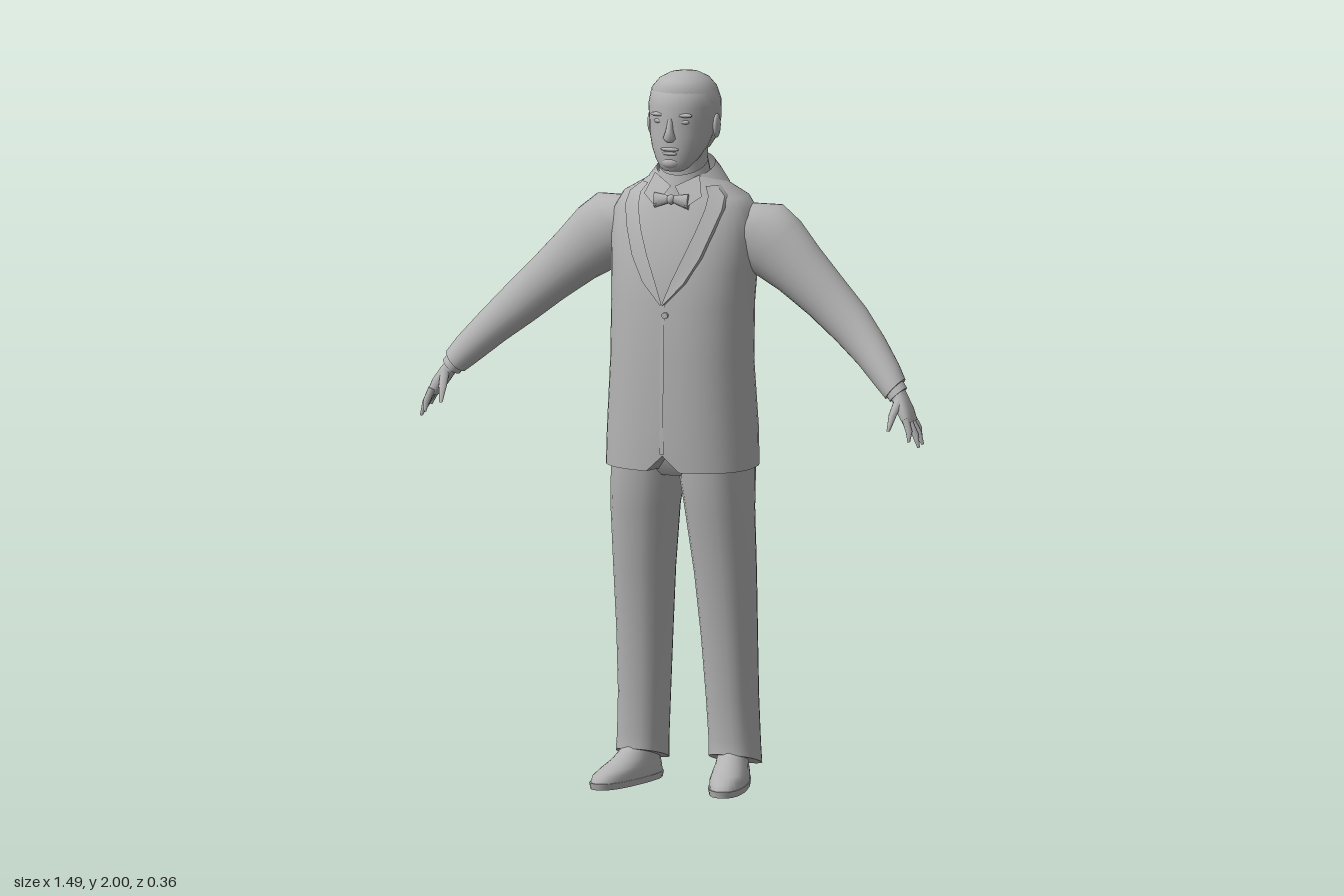
import * as THREE from 'three';

const cloth = new THREE.MeshStandardMaterial({ color: 0xb3b3b3, side: THREE.DoubleSide });
cloth.name = 'plain grey';
const V = (x, y, z) => new THREE.Vector3(x, y, z);

// Joins rings of superellipse points; each ring is { c, u, v, p } with u and v as half-axis vectors.
function loft(rings, n = 28, caps = true) {
  const pos = [], idx = [];
  const addRing = ({ c, u, v, p = 2 }) => {
    for (let i = 0; i < n; i++) {
      const t = (i / n) * Math.PI * 2, cs = Math.cos(t), sn = Math.sin(t);
      const q = c.clone()
        .addScaledVector(u, Math.sign(cs) * Math.abs(cs) ** (2 / p))
        .addScaledVector(v, Math.sign(sn) * Math.abs(sn) ** (2 / p));
      pos.push(q.x, q.y, q.z);
    }
  };
  rings.forEach(addRing);
  const axis = rings[rings.length - 1].c.clone().sub(rings[0].c);
  const forward = rings[0].u.clone().cross(rings[0].v).dot(axis) > 0;
  const tri = (a, b, c) => (forward ? idx.push(a, b, c) : idx.push(a, c, b));
  for (let r = 0; r < rings.length - 1; r++) {
    for (let i = 0; i < n; i++) {
      const a = r * n + i, b = r * n + (i + 1) % n;
      tri(a, b, b + n);
      tri(a, b + n, a + n);
    }
  }
  if (caps) {
    [rings[0], rings[rings.length - 1]].forEach((ring, end) => {
      const start = pos.length / 3;
      addRing(ring);
      pos.push(ring.c.x, ring.c.y, ring.c.z);
      for (let i = 0; i < n; i++) {
        const a = start + i, b = start + (i + 1) % n;
        if (end) tri(a, b, start + n); else tri(b, a, start + n);
      }
    });
  }
  return build(pos, idx);
}

function build(pos, idx) {
  const g = new THREE.BufferGeometry();
  g.setAttribute('position', new THREE.Float32BufferAttribute(pos, 3));
  g.setIndex(idx);
  g.computeVertexNormals();
  return g;
}

// Upright ring: height, x range, z range, exponent, rise of y per unit of z
const level = ([y, x0, x1, z0, z1, p = 2, tilt = 0]) => ({
  c: V((x0 + x1) / 2, y, (z0 + z1) / 2),
  u: V((x1 - x0) / 2, 0, 0),
  v: V(0, tilt * (z1 - z0) / 2, (z1 - z0) / 2), p,
});
const upright = (rows, n, caps) => loft(rows.map(level), n, caps);

// Tapered limb: centre, half height across the limb, half depth; angle leans the rings
const limb = (rows, angle, n = 20, p = 2) => loft(rows.map(([x, y, z, a, b]) => ({
  c: V(x, y, z), u: V(Math.cos(angle) * a, Math.sin(angle) * a, 0), v: V(0, 0, b), p,
})), n);

// Flat ribbon between two rows of points
function ribbon(left, right) {
  const pos = [], idx = [];
  left.forEach((q, i) => {
    pos.push(...q, ...right[i]);
    if (i) { const k = i * 2; idx.push(k - 2, k - 1, k + 1, k - 2, k + 1, k); }
  });
  return build(pos, idx);
}

function mirrored(geometry) {
  const g = geometry.clone().scale(-1, 1, 1);
  const ix = g.index.array;
  for (let i = 0; i < ix.length; i += 3) [ix[i + 1], ix[i + 2]] = [ix[i + 2], ix[i + 1]];
  g.computeVertexNormals();
  return g;
}

// Jacket body, from hem to neck
const jacket = [
  [0.9, -0.212, 0.212, -0.17, 0.148, 2.5],
  [1.0, -0.21, 0.21, -0.178, 0.152, 2.4],
  [1.2, -0.2, 0.2, -0.165, 0.15, 2.3],
  [1.36, -0.2, 0.2, -0.172, 0.142, 2.3],
  [1.46, -0.205, 0.205, -0.18, 0.128, 2.3],
  [1.54, -0.21, 0.21, -0.182, 0.108, 2.3],
  [1.61, -0.205, 0.205, -0.165, 0.083, 2.3],
  [1.655, -0.18, 0.18, -0.145, 0.062, 2.2],
  [1.69, -0.12, 0.12, -0.125, 0.045],
  [1.72, -0.075, 0.075, -0.105, 0.03],
];

// Point lying just proud of the jacket front
function onChest(x, y, lift) {
  let i = 0;
  while (i < jacket.length - 2 && jacket[i + 1][0] < y) i++;
  const t = (y - jacket[i][0]) / (jacket[i + 1][0] - jacket[i][0]);
  const [, , a, z0, z1, p = 2] = jacket[i].map((k, j) => k + ((jacket[i + 1][j] ?? 2) - k) * t);
  const z = (z0 + z1) / 2 + (z1 - z0) / 2 * Math.max(0, 1 - Math.abs(x / a) ** p) ** (1 / p);
  return [x, y, z + lift];
}

export function createModel() {
  const man = new THREE.Group();
  man.name = 'man in suit';
  const add = (name, geometry, parent = man) => {
    const m = new THREE.Mesh(geometry, cloth);
    m.name = name;
    parent.add(m);
    return m;
  };
  const pair = (name, geometry) => {
    add('left ' + name, geometry);
    add('right ' + name, mirrored(geometry));
  };
  const ball = (x, y, z, a, b, c) => new THREE.SphereGeometry(1, 14, 10).scale(a, b, c).translate(x, y, z);

  // Jacket with a small notch at the front of the hem
  const body = upright(jacket, 40);
  const bp = body.attributes.position;
  for (let i = 0; i < bp.count; i++) {
    if (bp.getY(i) < 0.91 && bp.getZ(i) > 0.1) bp.setY(i, 0.9 + Math.max(0, 0.045 - Math.abs(bp.getX(i))));
  }
  body.computeVertexNormals();
  add('jacket body', body);
  const edge = [0.95, 1.05, 1.2, 1.37];
  add('jacket front edge', ribbon(edge.map(y => onChest(-0.006, y, 0.003)), edge.map(y => onChest(0.006, y, 0.005))));
  const button = new THREE.CylinderGeometry(0.009, 0.009, 0.008, 12).rotateX(Math.PI / 2);
  add('jacket button', button.translate(0.008, 1.34, 0.148));

  // Lapels: height, inner x, outer x
  const lapel = [[1.37, 0, 0.004], [1.43, 0.022, 0.06], [1.5, 0.052, 0.1], [1.57, 0.08, 0.125],
    [1.63, 0.098, 0.143], [1.665, 0.1, 0.14], [1.69, 0.085, 0.11]];
  pair('lapel', ribbon(lapel.map(([y, a]) => onChest(a, y, 0.014)), lapel.map(([y, , b]) => onChest(b, y, 0.018))));
  pair('lapel outer edge', ribbon(lapel.map(([y, , b]) => onChest(b, y, 0.018)),
    lapel.map(([y, , b]) => onChest(b + 0.003, y, -0.004))));
  add('jacket collar', upright([
    [1.675, -0.125, 0.125, -0.135, 0.055, 2, -0.35],
    [1.705, -0.105, 0.105, -0.124, 0.05, 2, -0.4],
    [1.735, -0.082, 0.082, -0.11, 0.035, 2, -0.4],
  ], 28, false));

  // Shirt collar and bow tie
  add('shirt collar', upright([
    [1.68, -0.08, 0.08, -0.1, 0.062, 2, -0.4],
    [1.745, -0.066, 0.066, -0.09, 0.046, 2, -0.4],
  ], 24, false));
  pair('collar point', ribbon([[0.006, 1.69, 0.065], [0.045, 1.635, 0.088]],
    [[0.066, 1.72, 0.03], [0.085, 1.665, 0.066]]));
  pair('bow tie wing', limb([[0.005, 1.655, 0.078, 0.01, 0.01], [0.05, 1.65, 0.077, 0.022, 0.01]], Math.PI / 2, 8));
  add('bow tie knot', ball(0, 1.655, 0.08, 0.012, 0.014, 0.012));

  // Neck, head and hair
  add('neck', upright([
    [1.64, -0.07, 0.07, -0.09, 0.045], [1.72, -0.062, 0.062, -0.09, 0.04], [1.81, -0.065, 0.065, -0.1, 0.045],
  ], 24));
  add('head', upright([
    [1.733, -0.028, 0.028, 0.035, 0.078], [1.742, -0.042, 0.042, 0.01, 0.09],
    [1.765, -0.06, 0.06, -0.035, 0.094], [1.795, -0.077, 0.077, -0.075, 0.093],
    [1.83, -0.087, 0.087, -0.102, 0.093], [1.87, -0.092, 0.092, -0.118, 0.089],
    [1.91, -0.096, 0.096, -0.125, 0.09], [1.945, -0.09, 0.09, -0.12, 0.08],
    [1.975, -0.07, 0.07, -0.1, 0.055], [1.99, -0.04, 0.04, -0.07, 0.02],
  ], 32));
  add('hair', upright([
    [1.785, -0.064, 0.064, -0.096, 0.0], [1.82, -0.086, 0.086, -0.117, 0.012],
    [1.87, -0.098, 0.098, -0.13, 0.045], [1.92, -0.1, 0.1, -0.132, 0.068],
    [1.955, -0.089, 0.089, -0.126, 0.075], [1.98, -0.068, 0.068, -0.105, 0.055],
    [1.994, -0.042, 0.042, -0.075, 0.025], [2, -0.012, 0.012, -0.035, -0.01],
  ], 32));

  // Face
  add('nose', upright([
    [1.818, -0.012, 0.012, 0.07, 0.1], [1.828, -0.018, 0.018, 0.07, 0.114],
    [1.85, -0.011, 0.011, 0.07, 0.105], [1.882, -0.007, 0.007, 0.07, 0.091],
  ], 12));
  add('upper lip', ball(0, 1.797, 0.09, 0.027, 0.006, 0.009));
  add('lower lip', ball(0, 1.785, 0.088, 0.023, 0.006, 0.009));
  add('chin', ball(0, 1.758, 0.08, 0.026, 0.018, 0.018));
  pair('eyebrow', ball(0.038, 1.892, 0.077, 0.024, 0.006, 0.01));
  pair('eye', ball(0.037, 1.873, 0.075, 0.015, 0.007, 0.008));
  pair('ear', ball(0.097, 1.852, -0.022, 0.009, 0.034, 0.02));

  // Sleeves, cuffs and hands
  pair('sleeve', limb([
    [0.13, 1.57, -0.06, 0.085, 0.075], [0.2, 1.553, -0.062, 0.108, 0.084],
    [0.26, 1.515, -0.06, 0.1, 0.077], [0.33, 1.458, -0.053, 0.083, 0.067],
    [0.41, 1.388, -0.046, 0.071, 0.06], [0.49, 1.316, -0.034, 0.063, 0.056],
    [0.56, 1.251, -0.006, 0.053, 0.052], [0.62, 1.19, 0.026, 0.045, 0.046],
    [0.65, 1.157, 0.043, 0.038, 0.042],
  ], 0.85, 24));
  pair('shirt cuff', limb([[0.63, 1.18, 0.032, 0.03, 0.034], [0.661, 1.142, 0.048, 0.03, 0.035]], 0.75));
  pair('palm', limb([
    [0.645, 1.165, 0.04, 0.021, 0.026], [0.67, 1.13, 0.054, 0.02, 0.031],
    [0.69, 1.098, 0.064, 0.019, 0.038], [0.705, 1.07, 0.07, 0.014, 0.036],
  ], 0.5, 14, 2.5));
  const tips = [[0.725, 1.03, 0.04], [0.739, 1.01, 0.064], [0.736, 1.005, 0.088], [0.716, 1.022, 0.112]];
  tips.forEach(([x, y, z], i) => {
    const rootZ = 0.045 + i * 0.0175;
    pair('finger ' + (i + 1), limb([
      [0.7, 1.085, rootZ, 0.011, 0.01], [(0.705 + x) / 2 + 0.004, (1.075 + y) / 2, (rootZ + z) / 2, 0.01, 0.009],
      [x, y, z, 0.004, 0.004],
    ], 0.35, 8));
  });
  pair('thumb', limb([
    [0.672, 1.135, 0.07, 0.014, 0.014], [0.666, 1.095, 0.105, 0.012, 0.012], [0.662, 1.053, 0.13, 0.005, 0.005],
  ], 0, 8));

  // Trousers: seat and legs
  add('trouser seat', upright([
    [0.88, -0.13, 0.13, -0.12, 0.08], [0.93, -0.195, 0.195, -0.15, 0.115, 2.4], [0.98, -0.195, 0.195, -0.15, 0.12, 2.4],
  ], 28));
  pair('trouser leg', upright([
    [0.07, 0.067, 0.208, -0.142, 0.022, 2.3, 0.3], [0.12, 0.066, 0.205, -0.138, 0.018, 2.3, 0.15],
    [0.25, 0.06, 0.2, -0.138, 0.026, 2.3], [0.42, 0.05, 0.2, -0.134, 0.042, 2.3],
    [0.6, 0.037, 0.202, -0.127, 0.067, 2.3], [0.78, 0.018, 0.202, -0.122, 0.098, 2.3],
    [0.87, 0.004, 0.2, -0.142, 0.11, 2.3], [0.95, 0.0, 0.197, -0.15, 0.115, 2.3],
  ], 24));

  // Shoes, toes turned outward
  const turn = g => g.rotateY(0.22).translate(0.147, 0, 0);
  pair('shoe sole', turn(upright([
    [0, -0.05, 0.05, -0.13, 0.18, 2.5], [0.018, -0.053, 0.053, -0.133, 0.184, 2.5],
  ], 24)));
  pair('shoe upper', turn(upright([
    [0.016, -0.051, 0.051, -0.13, 0.181, 2.4], [0.035, -0.051, 0.051, -0.128, 0.172, 2.3],
    [0.05, -0.048, 0.048, -0.125, 0.135, 2.2], [0.068, -0.044, 0.044, -0.12, 0.08],
    [0.095, -0.04, 0.04, -0.115, 0.025], [0.12, -0.038, 0.038, -0.11, 0],
  ], 24)));
  return man;
}
